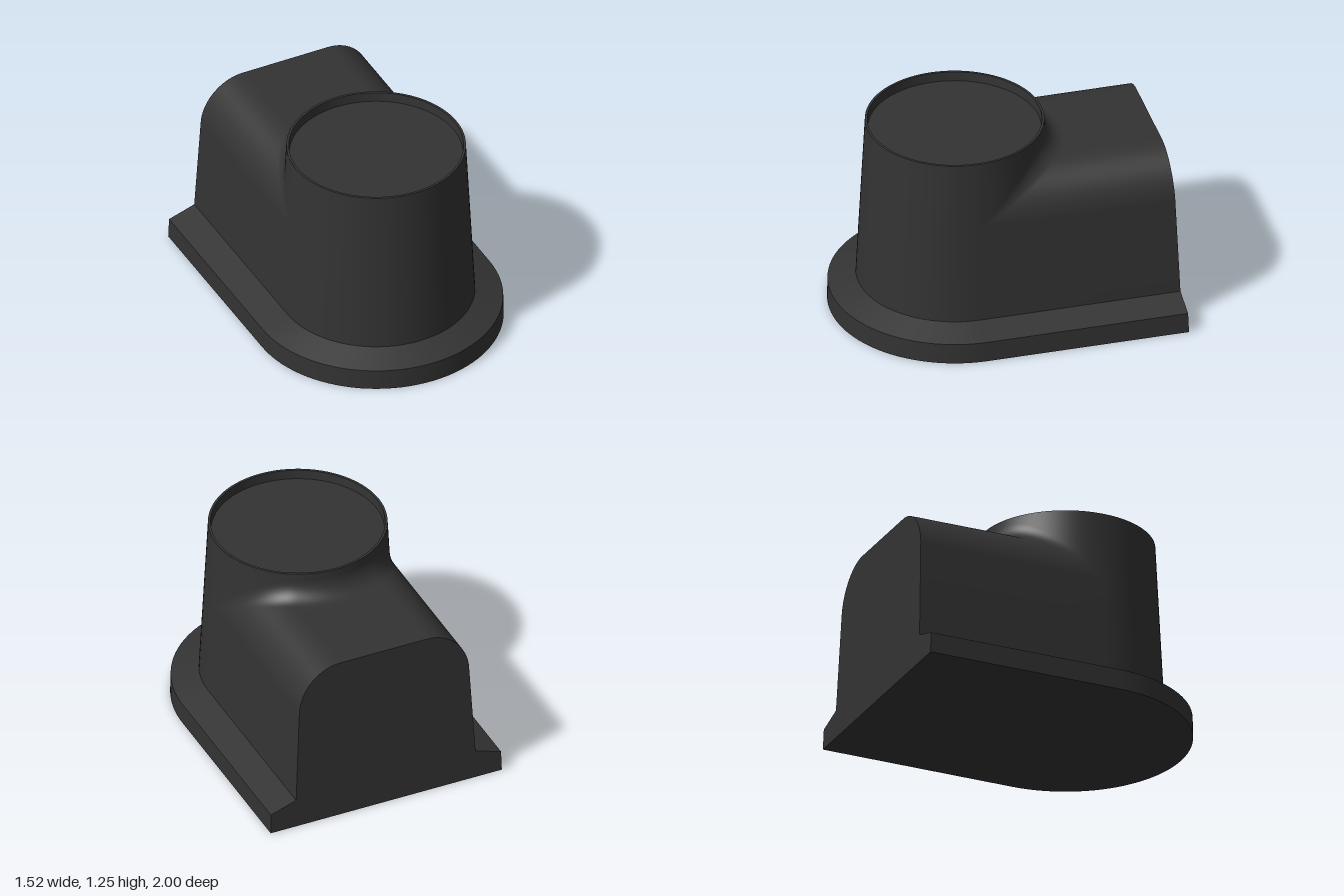
import * as THREE from 'three';
import { mergeGeometries, toCreasedNormals } from 'three/addons/utils/BufferGeometryUtils.js';

const ZC = 0.24, BACK = -1.24;            // axis of the round tower; back plane relative to it
const R = 0.59, FOOT = 0.185, TOP = 1.245; // tower radius at its foot, foot and top heights
const SPRING = 0.8, CORNER = 0.28, FLAT = R - CORNER; // rounded tunnel roof
const FILLET = 0.12, BREAK = -(R + FILLET + 0.02);
const backZ = y => -1 + 0.0368 * y;
const scaleAt = y => 1 - 0.088 * (y - FOOT);

// Draft: walls lean inwards with height, the back plane leans by its own amount
function taper(x, y, dz) {
  const s = scaleAt(y);
  if (dz >= BREAK) return [x * s, y, ZC + dz * s];
  const t = (dz - BREAK) / (BACK - BREAK);
  return [x * s, y, THREE.MathUtils.lerp(ZC + BREAK * s, backZ(y), t)];
}

// Skin over columns of points (columns run bottom to top, left to right seen from outside)
function skin(cols) {
  const n = cols[0].length, index = [];
  for (let i = 0; i < cols.length - 1; i++) {
    for (let j = 0; j < n - 1; j++) {
      const a = i * n + j, b = a + n;
      index.push(a, b, b + 1, a, b + 1, a + 1);
    }
  }
  const g = new THREE.BufferGeometry();
  g.setAttribute('position', new THREE.Float32BufferAttribute(cols.flat(2), 3));
  g.setIndex(index);
  return g.toNonIndexed();
}

const bare = g => {
  const out = g.index ? g.toNonIndexed() : g;
  out.deleteAttribute('uv');
  out.deleteAttribute('normal');
  return out;
};

// Flat face on the leaning back plane, from a symmetric outline in x and y
function backFace(points) {
  const g = new THREE.ShapeGeometry(new THREE.Shape(points.map(p => new THREE.Vector2(...p))));
  g.rotateY(Math.PI);
  const p = g.attributes.position;
  for (let i = 0; i < p.count; i++) p.setZ(i, backZ(p.getY(i)));
  return bare(g);
}

// U-shaped plan: [x, dz] pairs from the right back corner round the front to the left
function plan(r) {
  const pts = [[-r, BACK], [-r, BREAK]];
  for (let i = 0; i <= 48; i++) {
    const a = -Math.PI / 2 + Math.PI * i / 48;
    pts.push([Math.sin(a) * r, Math.cos(a) * r]);
  }
  pts.push([r, BREAK], [r, BACK]);
  return pts;
}

export function createModel() {
  const group = new THREE.Group();
  const material = new THREE.MeshStandardMaterial({ color: 0x333333 });
  const add = (name, parts) => {
    const mesh = new THREE.Mesh(toCreasedNormals(mergeGeometries(parts), 0.5), material);
    mesh.name = name;
    group.add(mesh);
  };

  // Flange: short wall and sloping shoulder around the U-shaped foot
  const rings = [[0.76, 0], [0.757, 0.13], [R, FOOT]];
  const plans = rings.map(([r]) => plan(r));
  const flangeWall = skin(plans[0].map((_, i) => rings.map(([, y], k) => {
    const [x, dz] = plans[k][i];
    return [x, y, dz === BACK ? backZ(y) : ZC + dz];
  })));
  const underside = new THREE.ShapeGeometry(
    new THREE.Shape(plans[0].map(([x, dz]) => new THREE.Vector2(x, ZC + dz))));
  underside.rotateX(Math.PI / 2);
  const flangeBack = backFace([
    ...rings.map(([r, y]) => [r, y]),
    ...[...rings].reverse().map(([r, y]) => [-r, y])
  ]);
  add('flange', [flangeWall, bare(underside), flangeBack]);

  // Lower walls, and the front half of the round tower above them
  const outline = plan(R);
  const lower = skin(outline.map(([x, dz]) => [taper(x, FOOT, dz), taper(x, SPRING, dz)]));
  const front = skin(outline.slice(2, -2).map(([x, dz]) => [taper(x, SPRING, dz), taper(x, TOP, dz)]));

  // Tunnel roof, rolling-ball fillet and rear half of the tower, as one run of columns
  const cols = [], roof = [];
  const STEPS = 72, ARC = 10;
  for (let i = 0; i <= STEPS; i++) {
    const a = Math.PI / 2 + Math.PI * i / STEPS;
    const u = new THREE.Vector3(Math.sin(a), 0, Math.cos(a));
    const c = u.clone().multiplyScalar(R + FILLET);
    const over = Math.max(0, Math.abs(c.x) - FLAT), ball = CORNER + FILLET;
    const rise = Math.sqrt(Math.max(0, ball * ball - over * over));
    c.y = SPRING + rise;
    const toRoof = new THREE.Vector3(-Math.sign(c.x) * over / ball, -rise / ball, 0);
    const toTower = u.clone().negate();
    const angle = toRoof.angleTo(toTower);
    const contact = c.clone().addScaledVector(toRoof, FILLET);
    const end = taper(contact.x, contact.y, BACK);
    roof.push([end[0], end[1]]);
    const col = [end, taper(contact.x, contact.y, BREAK)];
    for (let k = 0; k <= ARC; k++) {
      const t = k / ARC;
      const d = angle < 1e-4 ? toTower.clone() : toRoof.clone().multiplyScalar(Math.sin((1 - t) * angle))
        .addScaledVector(toTower, Math.sin(t * angle)).divideScalar(Math.sin(angle));
      const p = c.clone().addScaledVector(d, FILLET);
      col.push(taper(p.x, p.y, p.z));
    }
    col.push(taper(u.x * R, TOP, u.z * R));
    cols.push(col);
  }
  const bodyBack = backFace([[R, FOOT], ...roof, [-R, FOOT]]);
  add('body', [lower, front, skin(cols), bodyBack]);

  // Thin rim with a shallow recessed disc on top of the tower
  const rt = R * scaleAt(TOP);
  const rim = [[rt, TOP], [rt - 0.015, TOP], [rt - 0.018, TOP - 0.06], [0, TOP - 0.06]];
  const lid = new THREE.LatheGeometry(rim.map(p => new THREE.Vector2(...p)), 96);
  lid.translate(0, 0, ZC);
  add('recessedTop', [bare(lid)]);

  return group;
}
